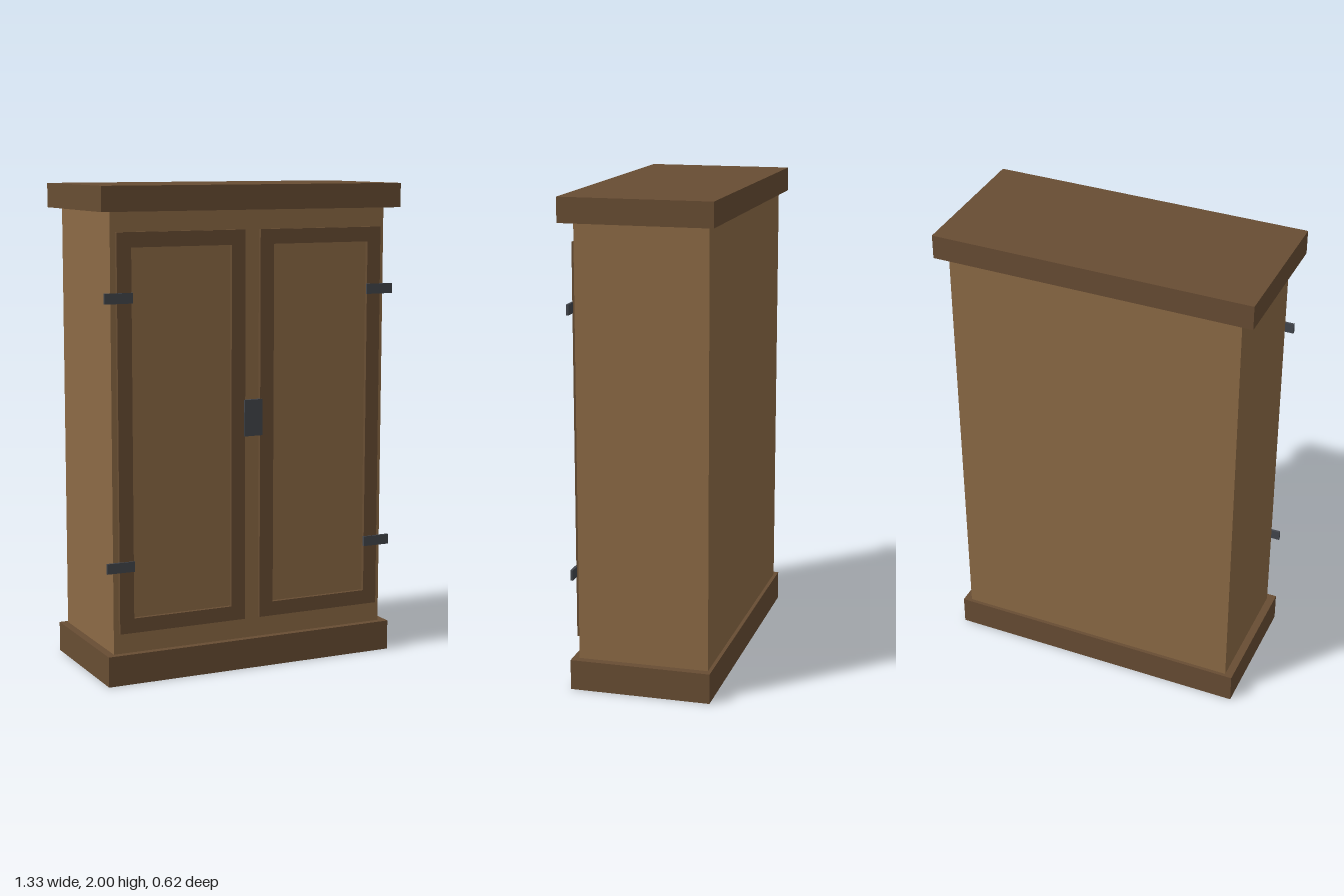
import * as THREE from 'three';

const material = (name, color) => {
  const m = new THREE.MeshStandardMaterial({ color });
  m.name = name;
  return m;
};

export function createModel() {
  const wood = material('light wood', 0x8c6a45);
  const trim = material('dark wood', 0x684d33);
  const iron = material('dark iron', 0x43464c);

  const model = new THREE.Group();
  model.name = 'wardrobe';

  // Box given by its lower and upper limits on each axis
  const addBox = (name, mat, [x0, x1], [y0, y1], [z0, z1], parent = model) => {
    const mesh = new THREE.Mesh(new THREE.BoxGeometry(x1 - x0, y1 - y0, z1 - z0), mat);
    mesh.position.set((x0 + x1) / 2, (y0 + y1) / 2, (z0 + z1) / 2);
    mesh.name = name;
    parent.add(mesh);
  };

  // Carcass with plinth and cornice
  addBox('plinth', trim, [-0.645, 0.645], [0, 0.125], [-0.294, 0.287]);
  addBox('body', wood, [-0.612, 0.612], [0.125, 1.9], [-0.279, 0.259]);
  addBox('cornice', trim, [-0.665, 0.665], [1.9, 2], [-0.308, 0.308]);

  // Raised door frame, open in the middle to show the panel
  const corners = (x0, x1, y0, y1) => [[x0, y0], [x1, y0], [x1, y1], [x0, y1]]
    .map(([x, y]) => new THREE.Vector2(x, y));
  const outline = new THREE.Shape(corners(-0.278, 0.278, 0.21, 1.82));
  outline.holes.push(new THREE.Path(corners(-0.217, 0.217, 0.27, 1.76).reverse()));
  const frameGeometry = new THREE.ExtrudeGeometry(outline, { depth: 0.016, bevelEnabled: false });

  // Two doors, each with two hinges
  for (const [side, label] of [[1, 'left'], [-1, 'right']]) {
    const door = new THREE.Group();
    door.name = `${label}Door`;
    const frame = new THREE.Mesh(frameGeometry, trim);
    frame.name = 'doorFrame';
    frame.position.set(side * 0.312, 0, 0.259);
    door.add(frame);
    const hingeX = side > 0 ? [0.526, 0.645] : [-0.645, -0.526];
    for (const y of [0.486, 1.563]) {
      addBox('hinge', iron, hingeX, [y - 0.021, y + 0.021], [0.272, 0.282], door);
    }
    model.add(door);
  }

  // Lock plate across the gap between the doors
  addBox('lockPlate', iron, [-0.04, 0.04], [0.98, 1.13], [0.268, 0.283]);

  return model;
}
